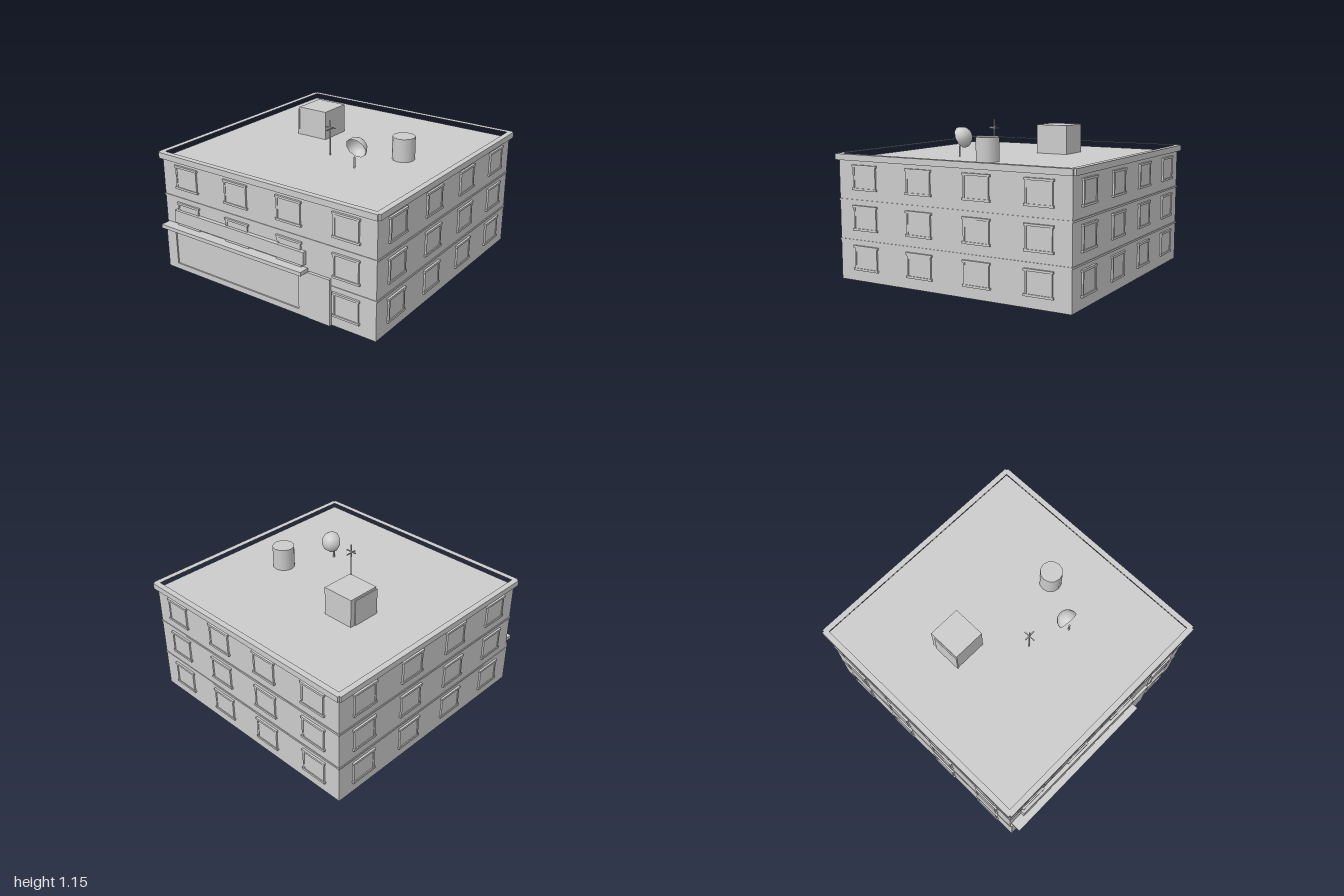
import * as THREE from 'three';

const HALF = 0.945;      // half width of the square block
const CZ = -0.027;       // block centre in z
const FRONT = CZ + HALF; // front wall plane
const ROOF = 0.885;
const FLOOR = 0.295;     // storey height

const grey = new THREE.MeshStandardMaterial({ color: 0xcccccc });
const thin = new THREE.MeshStandardMaterial({ color: 0xcccccc, side: THREE.DoubleSide });

function add(parent, name, geometry, x = 0, y = 0, z = 0, material = grey) {
  const mesh = new THREE.Mesh(geometry, material);
  mesh.name = name;
  mesh.position.set(x, y, z);
  parent.add(mesh);
  return mesh;
}

// Box given by its limits on each axis
function block(parent, name, x0, x1, y0, y1, z0, z1) {
  return add(parent, name, new THREE.BoxGeometry(x1 - x0, y1 - y0, z1 - z0),
    (x0 + x1) / 2, (y0 + y1) / 2, (z0 + z1) / 2);
}

// Window on a wall facing +z, with its origin in the wall plane
function makeWindow() {
  const g = new THREE.Group();
  g.name = 'window';
  block(g, 'windowPane', -0.095, 0.095, -0.085, 0.085, -0.005, 0.009);
  for (const s of [-1, 1]) {
    add(g, 'windowJamb', new THREE.BoxGeometry(0.014, 0.17, 0.018), s * 0.094, 0, 0.004);
    add(g, s > 0 ? 'windowLintel' : 'windowSill',
      new THREE.BoxGeometry(0.22, 0.016, 0.022), 0, s * 0.084, 0.005);
  }
  return g;
}

// One wall with rows of windows; keep() decides which ones are present
function makeFacade(name, angle, keep) {
  const wall = new THREE.Group();
  wall.name = name;
  for (let row = 0; row < 3; row++) {
    for (let col = 0; col < 4; col++) {
      if (!keep(row, col)) continue;
      const w = makeWindow();
      w.position.set((col - 1.5) * HALF / 2, 0.173 + row * FLOOR, HALF);
      wall.add(w);
    }
  }
  wall.rotation.y = angle;
  wall.position.z = CZ;
  return wall;
}

// Parapet ring with small notches at the outer corners
function makeParapet() {
  const a = 0.973, b = 0.958, i = 0.929;
  const s = new THREE.Shape();
  [[b, a], [b, b], [a, b], [a, -b], [b, -b], [b, -a],
    [-b, -a], [-b, -b], [-a, -b], [-a, b], [-b, b], [-b, a]]
    .forEach(([x, y], k) => (k ? s.lineTo(x, y) : s.moveTo(x, y)));
  s.closePath();
  const hole = new THREE.Path();
  hole.moveTo(-i, -i).lineTo(-i, i).lineTo(i, i).lineTo(i, -i).closePath();
  s.holes.push(hole);
  const geo = new THREE.ExtrudeGeometry(s, { depth: 0.045, bevelEnabled: false });
  return geo.rotateX(-Math.PI / 2);
}

// Shop window surround with an opening
function makeShopFrame() {
  const s = new THREE.Shape();
  s.moveTo(-HALF, 0).lineTo(0.4, 0).lineTo(0.4, 0.347).lineTo(-HALF, 0.347).closePath();
  const hole = new THREE.Path();
  hole.moveTo(-0.85, 0.045).lineTo(-0.85, 0.325).lineTo(0.32, 0.325).lineTo(0.32, 0.045).closePath();
  s.holes.push(hole);
  return new THREE.ExtrudeGeometry(s, { depth: 0.019, bevelEnabled: false });
}

export function createModel() {
  const model = new THREE.Group();
  model.name = 'building';

  // Main block, floor bands and parapet
  block(model, 'walls', -HALF, HALF, 0, ROOF, CZ - HALF, FRONT);
  for (const k of [1, 2]) {
    const w = 2 * HALF + 0.01;
    add(model, 'floorBand', new THREE.BoxGeometry(w, 0.014, w), 0, k * FLOOR + 0.004, CZ);
  }
  add(model, 'parapet', makeParapet(), 0, ROOF, CZ);

  // Windows on the four walls; the shop front replaces three of them
  ['frontWindows', 'leftWindows', 'backWindows', 'rightWindows'].forEach((name, i) => {
    model.add(makeFacade(name, i * Math.PI / 2, (row, col) => i > 0 || row > 0 || col === 3));
  });

  // Shop front
  const shop = new THREE.Group();
  shop.name = 'shopFront';
  add(shop, 'shopFrame', makeShopFrame(), 0, 0, FRONT);
  block(shop, 'shopGlass', -0.86, 0.33, 0.035, 0.335, FRONT - 0.01, FRONT + 0.008);
  block(shop, 'canopy', -0.93, 0.39, 0.347, 0.376, FRONT - 0.01, 1.0);
  block(shop, 'signBoard', -0.83, 0.375, 0.4, 0.5, FRONT - 0.01, 0.95);
  block(shop, 'entranceDoor', 0.4, 0.585, 0, 0.355, FRONT - 0.01, 0.94);
  model.add(shop);

  // Stair hut with its door
  block(model, 'stairHut', -0.453, -0.2, ROOF, 1.107, -0.35, -0.092);
  block(model, 'stairHutDoor', -0.461, -0.45, ROOF, 1.09, -0.31, -0.087);

  // Water tank
  add(model, 'waterTank', new THREE.CylinderGeometry(0.085, 0.085, 1.06 - ROOF, 12),
    0.515, (1.06 + ROOF) / 2, -0.085);

  // Aerial mast with crossed arms
  const mast = new THREE.Group();
  mast.name = 'aerial';
  add(mast, 'mast', new THREE.CylinderGeometry(0.005, 0.005, 1.155 - ROOF, 8), 0, (1.155 + ROOF) / 2, 0);
  add(mast, 'crossArm', new THREE.BoxGeometry(0.09, 0.008, 0.008), 0, 1.098, 0);
  add(mast, 'crossArm', new THREE.BoxGeometry(0.008, 0.008, 0.09), 0, 1.086, 0);
  mast.position.set(0.028, 0, 0.16);
  model.add(mast);

  // Satellite dish, an open bowl tilted slightly down towards the front
  const bowl = new THREE.SphereGeometry(0.083, 10, 6, 0, Math.PI * 2, 0, Math.PI / 2);
  add(model, 'dish', bowl, 0.328, 1.028, 0.262, thin).rotation.x = -1.18;
  add(model, 'dishPole', new THREE.CylinderGeometry(0.007, 0.007, 0.968 - ROOF, 8),
    0.328, (0.968 + ROOF) / 2, 0.28);

  return model;
}
